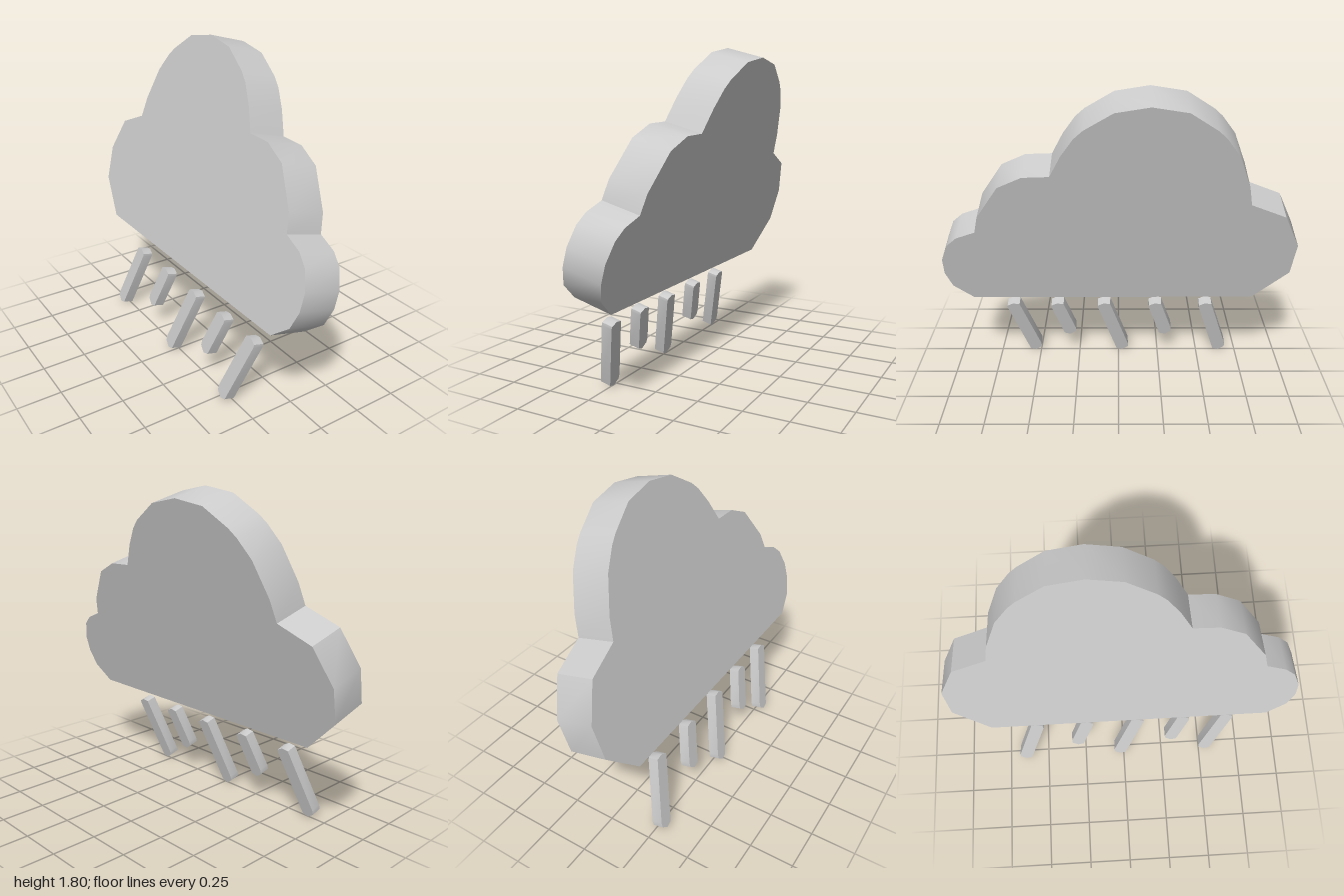
import * as THREE from 'three';
import { toCreasedNormals } from 'three/addons/utils/BufferGeometryUtils.js';

const TILT = Math.PI / 12;
const material = new THREE.MeshStandardMaterial({ color: 0xcccccc });

// Slab from a [z, height] outline, centred on the tilted plane.
// Heights are measured vertically, so they are stretched along the slope.
function slab(name, outline, thickness) {
  const shape = new THREE.Shape(
    outline.map(([z, y]) => new THREE.Vector2(-z, y / Math.cos(TILT)))
  );
  const geometry = new THREE.ExtrudeGeometry(shape, { depth: thickness, bevelEnabled: false });
  geometry.translate(0, 0, -thickness / 2);
  geometry.rotateY(Math.PI / 2);
  const mesh = new THREE.Mesh(toCreasedNormals(geometry, 0.7), material);
  mesh.name = name;
  return mesh;
}

// Slanted raindrop; the lower cap moves along the slant for shorter drops
function raindrop(name, z, shorten) {
  const upper = [[0, 0.378], [0, 0.394], [0.035, 0.412], [0.075, 0.406]];
  const lower = [[0.186, 0.062], [0.186, 0.035], [0.15, 0.008], [0.114, 0.018]];
  const outline = [
    ...upper,
    ...lower.map(([dz, y]) => [dz - 0.043 * shorten, y + 0.141 * shorten]),
  ].map(([dz, y]) => [z - dz, y]);
  return slab(name, outline, 0.0625);
}

export function createModel() {
  const model = new THREE.Group();
  model.name = 'rainCloud';

  const leaning = new THREE.Group();
  leaning.name = 'leaningCloud';
  leaning.rotation.z = -TILT;
  leaning.position.x = -0.278;
  model.add(leaning);

  // Cloud: flat base, then three puffs and the small right end puff
  leaning.add(slab('cloud', [
    [0.855, 0.544], [-0.785, 0.544], [-0.983, 0.733], [-1, 0.928],
    [-0.906, 1.122], [-0.71, 1.203], [-0.687, 1.32], [-0.615, 1.503],
    [-0.54, 1.603], [-0.495, 1.645], [-0.348, 1.742], [-0.16, 1.773],
    [0.022, 1.742], [0.176, 1.647], [0.226, 1.6], [0.294, 1.503],
    [0.358, 1.38], [0.503, 1.375], [0.637, 1.312], [0.766, 1.122],
    [0.791, 1.021], [0.9, 0.98], [0.959, 0.927], [1, 0.826],
    [1, 0.73], [0.965, 0.634],
  ], 0.222));

  // Rain: long and short drops alternate along the base
  [0.682, 0.412, 0.126, -0.187, -0.495].forEach((z, i) => {
    leaning.add(raindrop(i % 2 ? 'shortRaindrop' : 'longRaindrop', z, i % 2));
  });

  return model;
}
